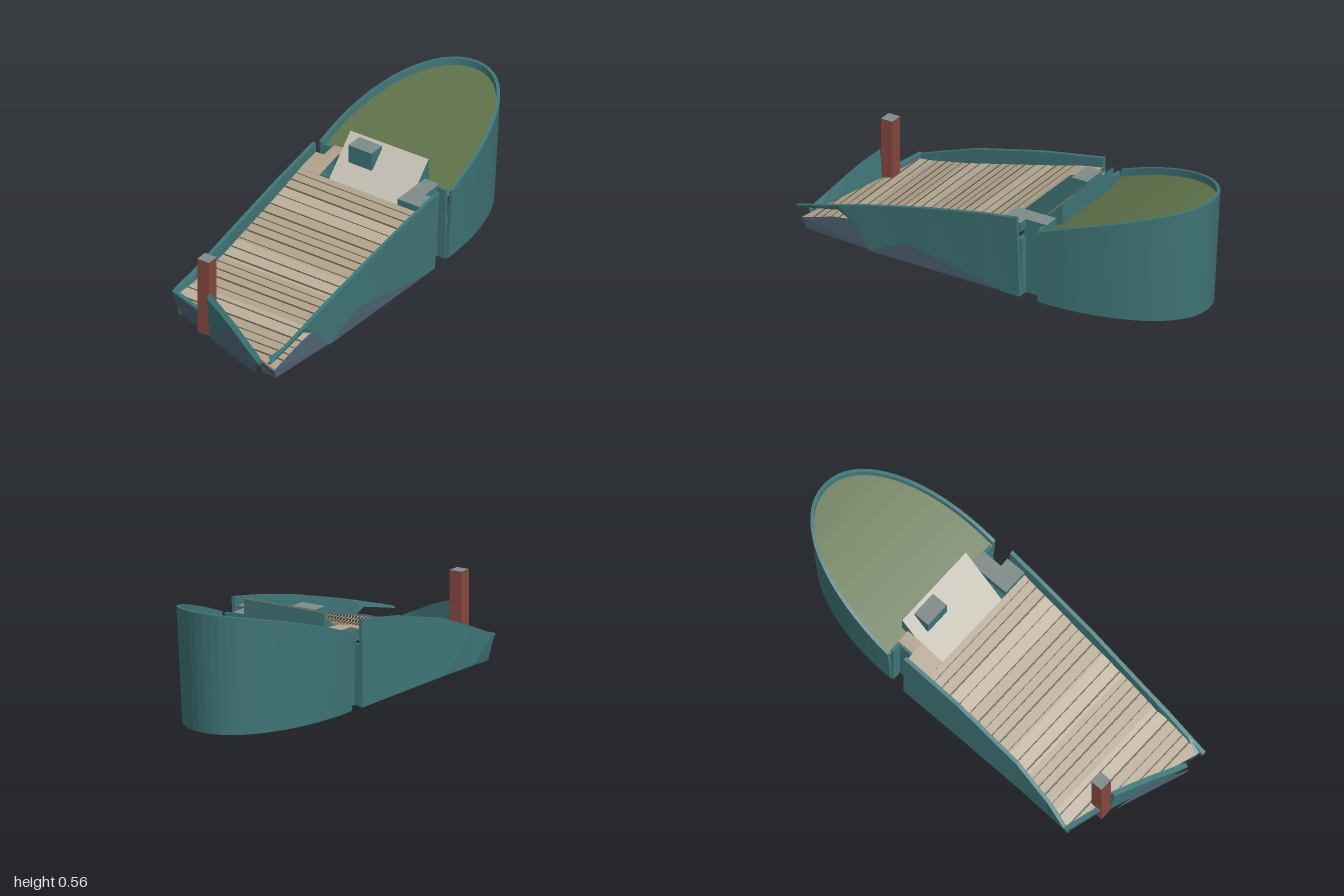
import * as THREE from 'three';

const mat = (name, color) => {
  const m = new THREE.MeshStandardMaterial({ color, side: THREE.DoubleSide, flatShading: true });
  m.name = name;
  return m;
};

export function createModel() {
  const group = new THREE.Group();
  const teal = mat('teal', 0x3f7577);
  const slate = mat('slate', 0x4f6475);
  const olive = mat('olive', 0x5f724a);
  const wood = mat('wood', 0xafa28c);
  const paleWood = mat('pale wood', 0xbaae98);
  const seamMat = mat('dark seam', 0x5c5246);
  const red = mat('red', 0x86483f);
  const cream = mat('cream', 0xc6c2b6);
  const grey = mat('grey', 0x7f8b89);

  const add = (name, geo, m) => {
    const mesh = new THREE.Mesh(geo, m);
    mesh.name = name;
    group.add(mesh);
    return mesh;
  };
  const fromTriangles = (tris) => {
    const g = new THREE.BufferGeometry();
    g.setAttribute('position', new THREE.Float32BufferAttribute(tris.flat(2), 3));
    g.computeVertexNormals();
    return g;
  };
  // Skin between equal cross-section rings, with closed ends
  const loft = (rings) => {
    const t = [];
    const n = rings[0].length;
    for (let i = 0; i < rings.length - 1; i++) {
      for (let j = 0; j < n; j++) {
        const k = (j + 1) % n, a = rings[i], b = rings[i + 1];
        t.push([a[j], b[j], b[k]], [a[j], b[k], a[k]]);
      }
    }
    for (const r of [rings[0], rings[rings.length - 1]])
      for (let j = 1; j < n - 1; j++) t.push([r[0], r[j], r[j + 1]]);
    return fromTriangles(t);
  };
  // Flat convex sheet
  const sheet = (p) => {
    const t = [];
    for (let j = 1; j < p.length - 1; j++) t.push([p[0], p[j], p[j + 1]]);
    return fromTriangles(t);
  };
  // Box given by its limits, with a separate top colour
  const block = (name, x0, x1, y0, y1, z0, z1, m, top = m) => {
    const mesh = add(name, new THREE.BoxGeometry(x1 - x0, y1 - y0, z1 - z0), [m, m, top, m, m, m]);
    mesh.position.set((x0 + x1) / 2, (y0 + y1) / 2, (z0 + z1) / 2);
  };

  // Rounded end: tall tapering wall with a thick rim, open underneath
  const rimY = (z) => { const t = -0.3 - z; return 0.36 + 0.374 * t - 0.136 * t * t; };
  const arc = (a, inset, taper) => {
    const c = Math.cos(a);
    const x = 0.014 - Math.sign(c) * Math.pow(Math.abs(c), 0.95) * (0.362 - inset - taper);
    return [x, -0.3 - Math.pow(Math.sin(a), 0.97) * (0.7 - inset - taper * 1.2)];
  };
  const N = 32, rings = [], floor = [];
  for (let i = 0; i <= N; i++) {
    const a = (i / N) * Math.PI;
    const [xo, zo] = arc(a, 0, 0), [xi, zi] = arc(a, 0.016, 0);
    const [xb, zb] = arc(a, 0, 0.024), [xc, zc] = arc(a, 0.016, 0.024);
    const y = rimY(zo);
    rings.push([[xb, 0, zb], [xo, y, zo], [xi, y, zi], [xc, 0, zc]]);
    floor.push([xi, y - 0.033, zi]);
  }
  add('roundedWall', loft(rings), teal);
  const floorTris = [];
  for (let i = 0; i < N / 2; i++) {
    const a = floor[i], b = floor[N - i], c = floor[i + 1], d = floor[N - i - 1];
    floorTris.push([a, b, d], [a, d, c]);
  }
  add('raisedFloor', fromTriangles(floorTris), olive);

  // Cross walls under the deck, and recessed walls closing the side gaps
  block('rearBulkhead', -0.32, 0.345, 0, 0.358, -0.305, -0.29, teal);
  block('middleBulkhead', -0.32, 0.335, 0, 0.28, -0.2, -0.18, teal);
  block('rightRecessWall', -0.275, -0.258, 0, 0.345, -0.3, -0.19, teal);
  block('leftRecessWall', 0.285, 0.3, 0, 0.36, -0.3, -0.19, teal);

  // Sloping plank deck
  const deckY = (z) => 0.335 - 0.264 * (z + 0.1);
  const leftX = (z) => {
    if (z > 0.77) return -0.36 + (z - 0.77) * 3.35;
    return -0.315 - 0.045 * Math.pow((z + 0.1) / 0.87, 3);
  };
  const rightX = (z) => 0.345 - 0.033 * (z + 0.1);
  const deckRing = (z, up, down) => [
    [leftX(z), deckY(z) + up, z], [rightX(z), deckY(z) + up, z],
    [rightX(z), deckY(z) - down, z], [leftX(z), deckY(z) - down, z]];
  const cuts = [-0.1, 0.02, 0.14, 0.26, 0.38, 0.5, 0.6, 0.69, 0.77, 0.965];
  for (let i = 0; i < cuts.length - 1; i++)
    add('deckPlanks', loft([deckRing(cuts[i], 0, 0.012), deckRing(cuts[i + 1], 0, 0.012)]), i % 3 === 1 ? paleWood : wood);
  for (let i = 0; i < 21; i++) {
    const z = -0.07 + i * 0.049 + 0.01 * Math.sin(i * 5.3);
    const w = 0.003 + 0.002 * (i % 3);
    add('plankSeam', loft([deckRing(z, 0.0015, 0), deckRing(z + w, 0.0015, 0)]), seamMat);
  }
  add('sideDeck', sheet([[-0.315, 0.336, -0.1], [-0.205, 0.336, -0.1], [-0.205, 0.364, -0.22], [-0.315, 0.358, -0.22]]), wood);
  add('sideDeckStrip', sheet([[-0.268, 0.36, -0.22], [-0.205, 0.364, -0.22], [-0.205, 0.37, -0.305], [-0.268, 0.364, -0.305]]), wood);

  // Side walls: z, top y, outer top x, bottom y, outer bottom x
  const sideWall = (rows, s) => loft(rows.map(([z, y, x, yb, xb]) =>
    [[xb, yb, z], [x, y, z], [x - s * 0.018, y, z], [xb - s * 0.018, yb, z]]));
  add('rightWall', sideWall([
    [-0.22, 0.405, -0.328, 0, -0.33], [0.1, 0.35, -0.323, 0, -0.332],
    [0.45, 0.26, -0.33, 0, -0.337], [0.65, 0.18, -0.353, 0, -0.345], [0.77, 0.125, -0.38, 0, -0.352],
  ], -1), teal);
  add('leftWall', sideWall([
    [-0.2, 0.405, 0.378, 0, 0.353], [0, 0.37, 0.37, 0, 0.35], [0.3, 0.305, 0.358, 0, 0.343],
    [0.6, 0.225, 0.34, 0, 0.334], [0.68, 0.202, 0.336, 0.11, 0.332],
    [0.77, 0.175, 0.332, 0.15, 0.324], [1, 0.105, 0.315, 0.095, 0.31],
  ], 1), teal);
  add('leftWallTip', sheet([[0.275, 0.103, 0.97], [0.31, 0.14, 0.9], [0.31, 0.103, 0.99]]), teal);

  // Slate base panels
  add('leftBase', sheet([[0.34, 0, 0.6], [0.355, 0.1, 0.4], [0.361, 0.012, -0.1], [0.355, 0, -0.1]]), slate);
  add('leftFrontBase', sheet([[0.31, 0.05, 0.975], [0.305, 0, 0.95], [0.332, 0, 0.6], [0.332, 0.13, 0.68], [0.324, 0.11, 0.79]]), slate);
  add('cornerBase', sheet([[0.222, 0.05, 0.958], [0.23, 0, 0.95], [0.305, 0, 0.95], [0.31, 0.05, 0.975]]), slate);
  // Front base rows: bottom x, z, top y, top x
  const frontBase = (rows) => loft(rows.map(([x, z, y, xt]) =>
    [[x, 0, z - 0.005], [xt, y, z + 0.016], [xt, y, z - 0.004], [x, 0, z - 0.02]]));
  add('rightFrontBase', frontBase([[-0.352, 0.77, 0.114, -0.375], [-0.15, 0.826, 0.098, -0.15]]), slate);
  add('innerFrontBase', frontBase([[-0.125, 0.82, 0.08, -0.125], [0.3, 0.945, 0.04, 0.3]]), slate);
  add('rightFrontRim', loft([[-0.378, 0.775, 0.114], [-0.2, 0.822, 0.101]].map(([x, z, y]) =>
    [[x, y, z + 0.014], [x, y + 0.01, z + 0.014], [x, y + 0.01, z - 0.008], [x, y, z - 0.008]])), teal);

  // Front bulwark with its slate facing
  add('frontBulwark', loft([
    [-0.137, 0.23, 0.848, 0], [-0.05, 0.205, 0.878, 0], [0.05, 0.165, 0.91, 0],
    [0.14, 0.122, 0.94, 0], [0.222, 0.085, 0.967, 0.035],
  ].map(([x, y, z, yb]) => [[x, yb, z - 0.01], [x, y - 0.025, z + 0.012], [x, y, z - 0.006], [x, yb, z - 0.024]])), teal);
  add('frontFacing', sheet([[-0.125, 0, 0.855], [0.03, 0.14, 0.924], [0.222, 0.052, 0.989], [0.215, 0, 0.976]]), slate);

  // Post at the front
  block('frontPost', -0.203, -0.14, 0, 0.382, 0.78, 0.84, red, grey);

  // Steep cream panel dropping behind the deck edge, with a teal backing
  add('slopedPanel', sheet([[-0.205, 0.205, -0.102], [0.22, 0.205, -0.102], [0.22, 0.452, -0.338], [-0.205, 0.447, -0.338]]), cream);
  add('panelBacking', loft([[-0.204, 0.442], [0.219, 0.447]].map(([x, y]) =>
    [[x, 0.196, -0.106], [x, y, -0.341], [x, 0.33, -0.341], [x, 0.196, -0.25]])), teal);
  block('smallBox', -0.145, -0.02, 0.355, 0.444, -0.32, -0.238, teal, grey);
  // Locker beside the panel
  block('sideLocker', 0.22, 0.345, 0.32, 0.366, -0.2, -0.1, teal, grey);
  block('sideLockerRear', 0.22, 0.3, 0.32, 0.366, -0.31, -0.2, teal, grey);

  return group;
}
